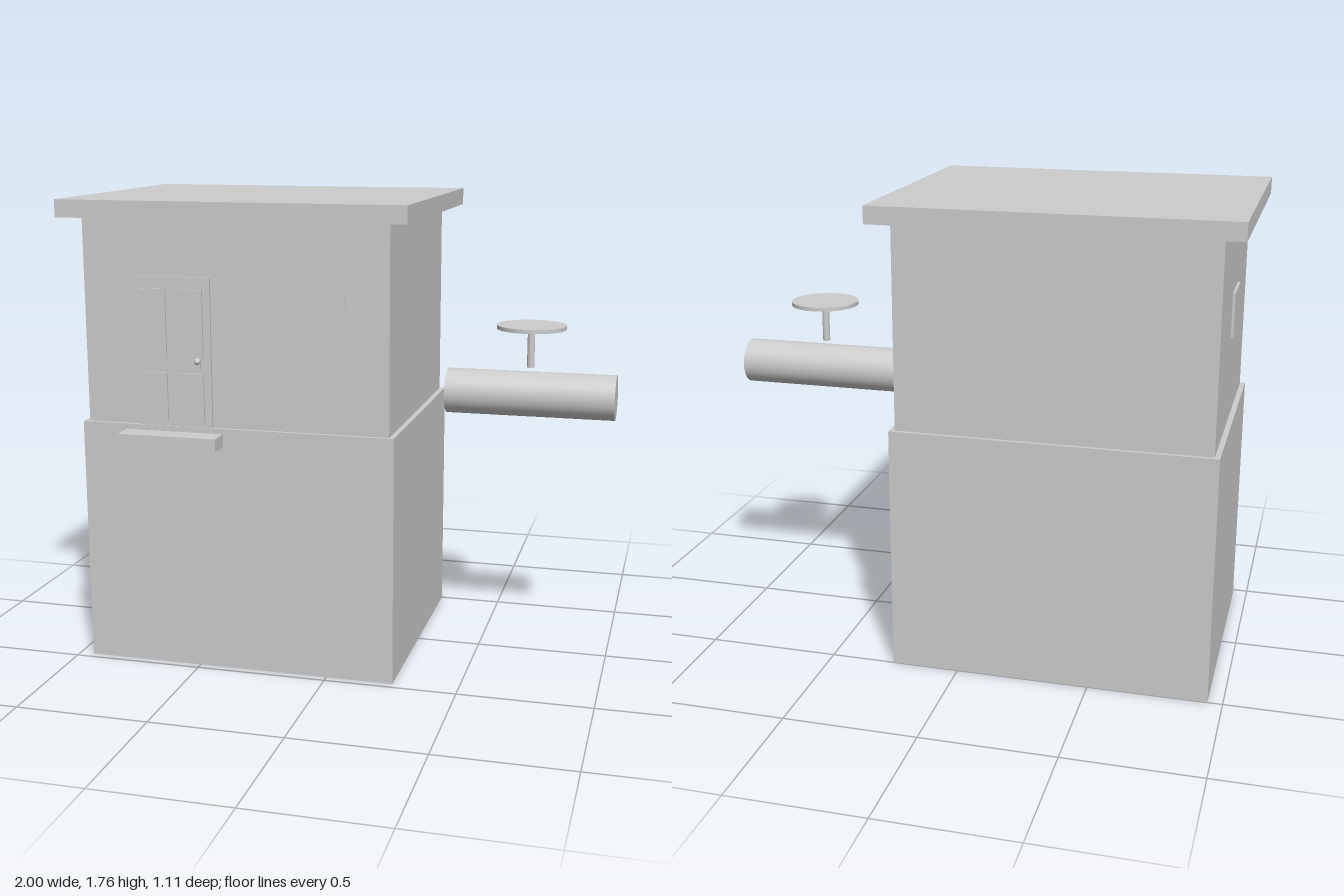
import * as THREE from 'three';

export function createModel() {
  const model = new THREE.Group();
  model.name = 'house';
  const grey = new THREE.MeshStandardMaterial({ color: 0xcccccc });
  grey.name = 'plain grey';

  const add = (name, geometry, x, y, z, parent = model) => {
    const mesh = new THREE.Mesh(geometry, grey);
    mesh.name = name;
    mesh.position.set(x, y, z);
    parent.add(mesh);
    return mesh;
  };
  // Box given by its extents along each axis
  const box = (name, [x0, x1], [y0, y1], [z0, z1], parent) =>
    add(name, new THREE.BoxGeometry(x1 - x0, y1 - y0, z1 - z0),
      (x0 + x1) / 2, (y0 + y1) / 2, (z0 + z1) / 2, parent);

  // Main volumes
  box('lowerStorey', [-0.945, 0.255], [0, 0.935], [-0.5, 0.47]);
  box('upperStorey', [-0.925, 0.235], [0.935, 1.7], [-0.485, 0.455]);
  box('roof', [-1, 0.31], [1.7, 1.765], [-0.555, 0.52]);
  box('doorstep', [-0.77, -0.39], [0.867, 0.915], [0.47, 0.555]);

  // Door with four raised panels
  const door = new THREE.Group();
  door.name = 'door';
  model.add(door);
  box('doorLeaf', [-0.72, -0.432], [0.935, 1.49], [0.455, 0.465], door);
  for (const x of [[-0.7, -0.602], [-0.557, -0.46]])
    for (const y of [[0.952, 1.137], [1.188, 1.445]])
      box('doorPanel', x, y, [0.465, 0.473], door);

  // Door handle: back plate, stem and knob
  box('handlePlate', [-0.482, -0.468], [1.147, 1.198], [0.473, 0.48], door);
  add('handleStem', new THREE.CylinderGeometry(0.005, 0.005, 0.02, 16), -0.475, 1.187, 0.485, door)
    .rotation.x = Math.PI / 2;
  add('handleKnob', new THREE.SphereGeometry(0.012, 16, 12), -0.475, 1.187, 0.492, door);

  // Windows, almost flush at the front and raised on the side
  box('frontWindow', [-0.183, 0.075], [1.39, 1.535], [0.45, 0.456]);
  box('sideWindow', [-0.935, -0.925], [1.262, 1.432], [-0.1, 0.085]);

  // Separate round bar with a disc on a post above it
  const z = -0.016;
  add('roundBar', new THREE.CylinderGeometry(0.086, 0.086, 0.642, 48), 0.679, 1.025, z)
    .rotation.z = Math.PI / 2;
  add('discPost', new THREE.CylinderGeometry(0.014, 0.014, 0.148, 24), 0.675, 1.202, z);
  add('disc', new THREE.CylinderGeometry(0.131, 0.131, 0.015, 48), 0.675, 1.283, z);

  return model;
}
